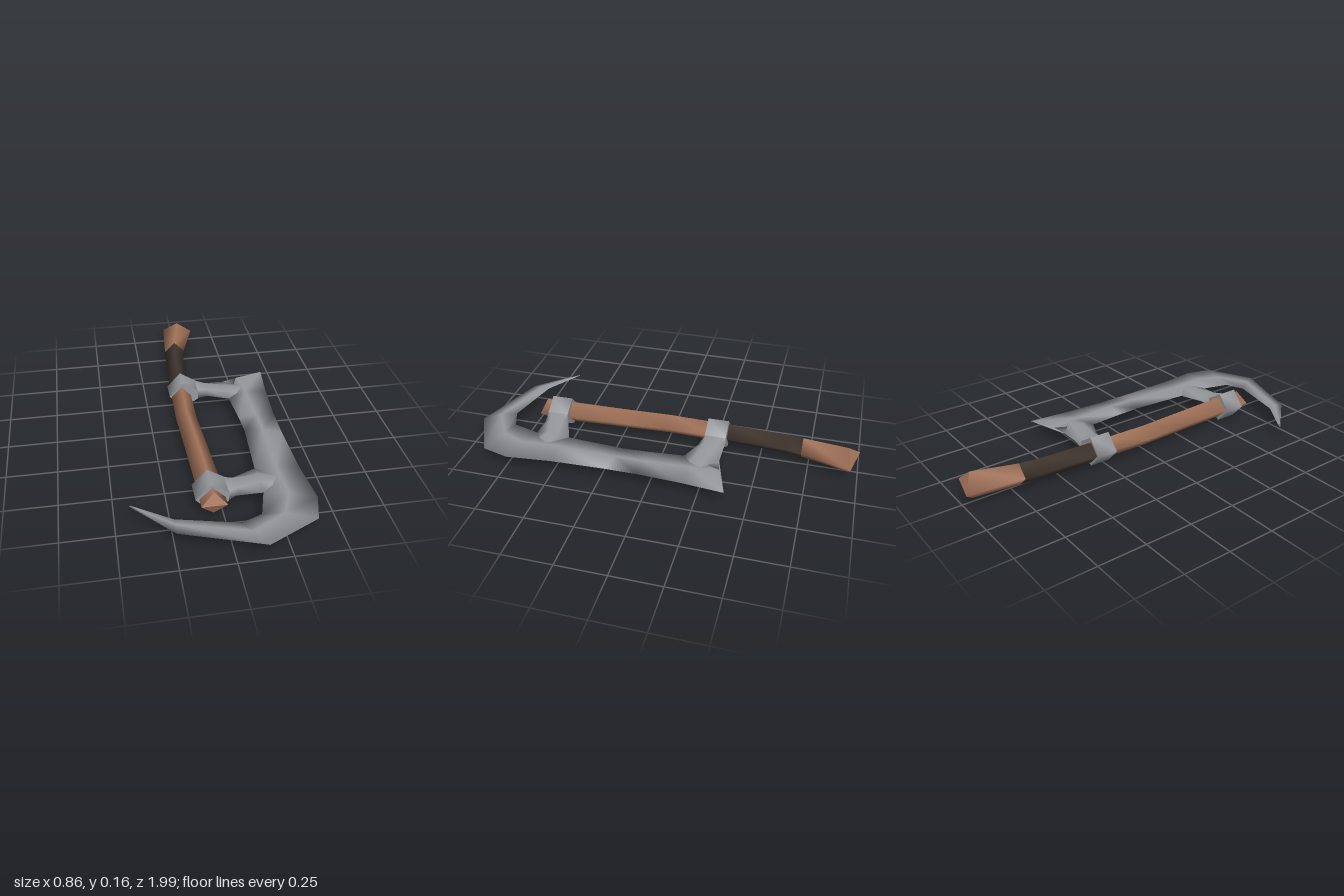
import * as THREE from 'three';

const Y = 0.08; // height of the flat middle plane

const mat = (name, color, side = THREE.FrontSide) => {
  const m = new THREE.MeshStandardMaterial({ color, side });
  m.name = name;
  return m;
};

// Skin a list of equal-length loops (counter-clockwise about the travel direction), smooth sides, sharp caps
function loft(name, loops, material, capStart = true, capEnd = true) {
  const n = loops[0].length;
  const pos = loops.flat(2);
  const index = [];
  for (let s = 0; s < loops.length - 1; s++) {
    for (let i = 0; i < n; i++) {
      const j = (i + 1) % n;
      const a = s * n + i, b = s * n + j, c = a + n, d = b + n;
      index.push(a, b, d, a, d, c);
    }
  }
  const cap = (loop, flip) => {
    for (let i = 1; i < n - 1; i++) {
      const base = pos.length / 3;
      const tri = flip ? [0, i + 1, i] : [0, i, i + 1];
      tri.forEach((k) => pos.push(...loop[k]));
      index.push(base, base + 1, base + 2);
    }
  };
  if (capStart) cap(loops[0], true);
  if (capEnd) cap(loops[loops.length - 1], false);
  const g = new THREE.BufferGeometry();
  g.setAttribute('position', new THREE.Float32BufferAttribute(pos, 3));
  g.setIndex(index);
  g.computeVertexNormals();
  const mesh = new THREE.Mesh(g, material);
  mesh.name = name;
  return mesh;
}

export function createModel() {
  const wood = mat('wood', 0xa4745a);
  const leather = mat('dark leather', 0x40362e);
  const steel = mat('steel', 0x97999d);
  const group = new THREE.Group();
  group.name = 'axe';

  // Handle: diamond sections [z, left x, right x, half height]
  const diamond = ([z, l, r, h]) => {
    const m = (l + r) / 2;
    return [[r, Y, z], [m, Y + h, z], [l, Y, z], [m, Y - h, z]];
  };
  const butt = [
    [[0.105, Y, -0.96], [0.015, Y + 0.072, -0.94], [-0.065, Y, -1], [0.015, Y - 0.072, -0.94]],
    diamond([-0.71, -0.09, 0.025, 0.058]),
  ];
  const grip = [
    [-0.71, -0.09, 0.025, 0.058], [-0.62, -0.097, 0.008, 0.056],
    [-0.33, -0.112, -0.008, 0.056], [-0.27, -0.115, -0.008, 0.057],
  ].map(diamond);
  const shaft = [
    [-0.27, -0.115, -0.008, 0.057], [0, -0.123, -0.015, 0.057], [0.2, -0.117, -0.004, 0.058],
    [0.5, -0.11, 0.01, 0.06], [0.69, -0.108, 0.014, 0.06],
  ].map(diamond);
  // pointed front end
  const end = shaft[shaft.length - 1];
  end[0][2] = end[2][2] = 0.715;
  group.add(
    loft('handleButt', butt, wood, true, false),
    loft('handleGrip', grip, leather, false, false),
    loft('handleShaft', shaft, wood, false, true),
  );

  // Blade with hook: [inner x, z, ridge x, z, outer x, z, half thickness]
  const blade = [
    [0.19, -0.32, 0.27, -0.335, 0.428, -0.39, 0.008],
    [0.19, -0.14, 0.29, -0.18, 0.408, -0.18, 0.013],
    [0.205, 0.05, 0.3, 0.05, 0.396, 0.05, 0.013],
    [0.21, 0.17, 0.3, 0.19, 0.396, 0.22, 0.013],
    [0.19, 0.48, 0.29, 0.5, 0.405, 0.5, 0.013],
    [0.19, 0.66, 0.3, 0.7, 0.428, 0.73, 0.013],
    [0.15, 0.8, 0.25, 0.82, 0.39, 0.87, 0.012],
    [0.05, 0.84, 0.09, 0.91, 0.14, 0.993, 0.012],
    [-0.24, 0.77, -0.24, 0.812, -0.24, 0.862, 0.009],
    [-0.423, 0.648, -0.425, 0.65, -0.428, 0.653, 0.002],
  ].map(([ix, iz, rx, rz, ox, oz, h]) => [
    [ox, Y, oz], [rx, Y + h, rz], [ix, Y, iz], [rx, Y - h, rz],
  ]);
  group.add(loft('bladeAndHook', blade, steel));

  // Two mirrored mounts, each a collar around the handle and an arm to the blade
  const arm = [ // [x, back z, front z, bevel, half thickness]
    [0.025, -0.32, -0.21, 0.004, 0.028], [0.08, -0.32, -0.187, 0.03, 0.021],
    [0.19, -0.32, -0.14, 0.06, 0.015], [0.28, -0.3, -0.16, 0.06, 0.009],
  ];
  const collar = [[0.03, -0.026], [0.03, 0.026], [-0.055, 0.08], [-0.127, 0], [-0.055, -0.08]];
  for (const [label, flip] of [['rear', false], ['front', true]]) {
    const mount = new THREE.Group();
    mount.name = label + 'Mount';
    const [z0, z1] = flip ? [0.55, 0.66] : [-0.32, -0.21];
    mount.add(loft(label + 'Collar', [z0, z1].map((z) => collar.map(([x, y]) => [x, Y + y, z])), steel));
    const loops = arm.map(([x, a, b, e, h]) => {
      const lo = flip ? 0.34 - b : a, hi = flip ? 0.34 - a : b;
      return [
        [x, Y + h, lo + e], [x, Y + h, hi - e], [x, Y, hi],
        [x, Y - h, hi - e], [x, Y - h, lo + e], [x, Y, lo],
      ];
    });
    mount.add(loft(label + 'Arm', loops, steel));
    group.add(mount);
  }
  return group;
}
